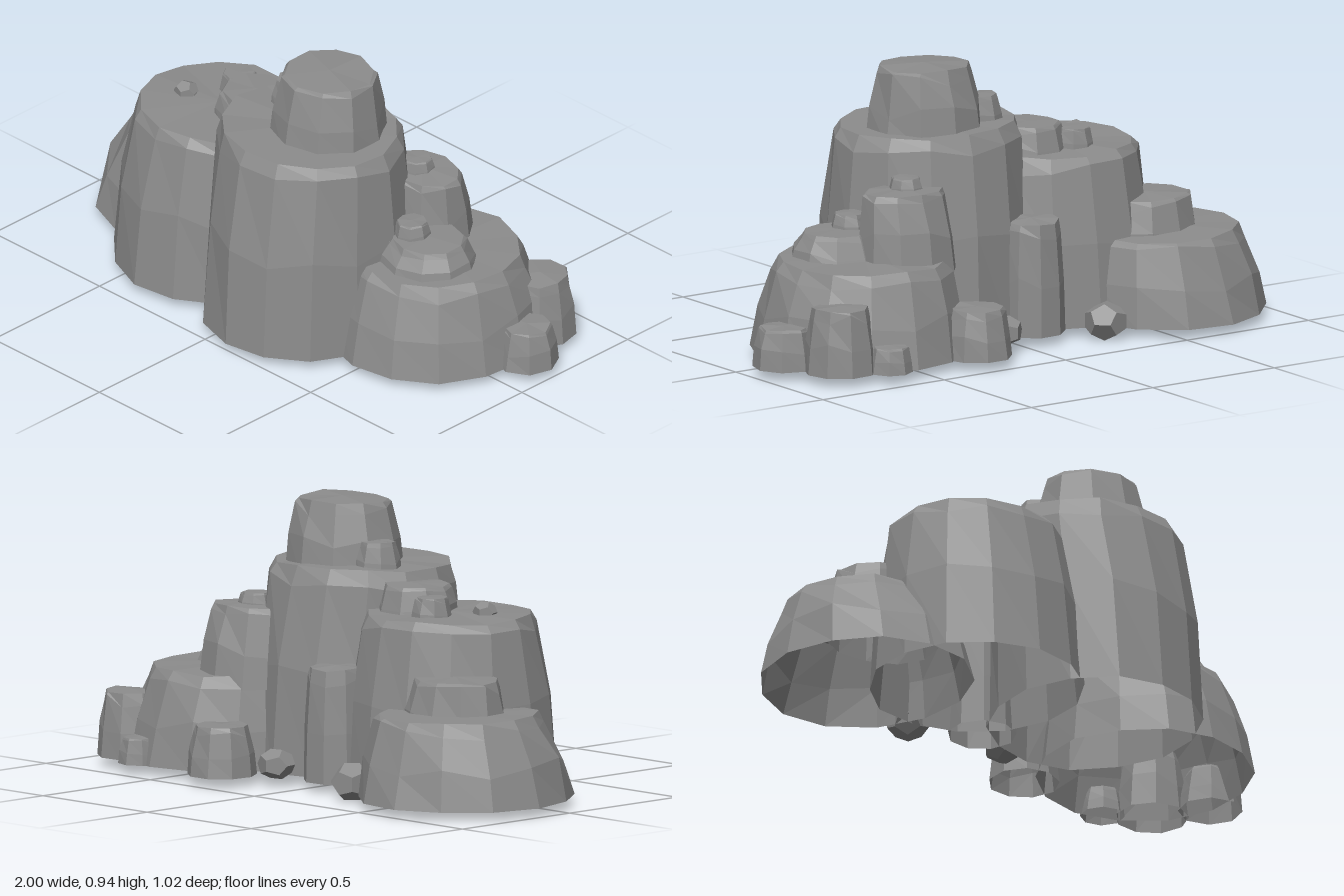
import * as THREE from 'three';

const stone = new THREE.MeshStandardMaterial({ color: 0x8c8c8c, flatShading: true, side: THREE.DoubleSide });
stone.name = 'grey stone';

// small seeded generator, so every rock chips the same way each time
function seeded(seed) {
  let s = seed * 7919 + 17;
  return () => {
    s = (s * 16807) % 2147483647;
    return s / 2147483647;
  };
}

// rings from foot to crown: height fraction, blend from foot box to top box, radius scale, chipped drop
const RINGS = [
  [0, 0, 1, 0],
  [0.54, 0.34, 1, 1.3],
  [0.95, 0.97, 1, 1.2],
  [1, 1, 0.93, 0.3],
  [1, 1, 0, 0],
];

// Open-bottomed faceted rock; foot and top are [xMin, xMax, zMin, zMax]
function rock(name, y0, y1, foot, top, sides, seed) {
  const n = RINGS.length;
  const geo = new THREE.LatheGeometry(RINGS.map(([h, , s]) => new THREE.Vector2(s, h)), sides);
  const pos = geo.attributes.position;
  const rand = seeded(seed);
  const turn = (rand() - 0.5) * 0.3;
  const chips = Array.from({ length: sides }, () => {
    const column = rand();
    return RINGS.map(() => [0.5 * column + 0.5 * rand(), rand()]);
  });
  const drop = Math.min(0.04, (y1 - y0) * 0.15);
  for (let i = 0; i <= sides; i++) {
    const side = i % sides; // the last column closes exactly onto the first
    const a = turn + (side / sides) * Math.PI * 2;
    for (let j = 0; j < n; j++) {
      const [h, k, s, fall] = RINGS[j];
      const [chip, sink] = chips[side][j];
      const b = foot.map((v, q) => v + (top[q] - v) * k);
      const r = s * (1.045 - 0.06 * chip);
      pos.setXYZ(
        i * n + j,
        (b[0] + b[1]) / 2 + Math.sin(a) * r * (b[1] - b[0]) / 2,
        y0 + h * (y1 - y0) - fall * drop * sink,
        (b[2] + b[3]) / 2 + Math.cos(a) * r * (b[3] - b[2]) / 2
      );
    }
  }
  const flat = geo.toNonIndexed();
  flat.computeVertexNormals();
  const mesh = new THREE.Mesh(flat, stone);
  mesh.name = name;
  return mesh;
}

// Round-plan rock given by centre, foot radius and top radius
function boulder(name, x, z, y0, y1, r0, r1, sides, seed) {
  const box = (r) => [x - r, x + r, z - r, z + r];
  return rock(name, y0, y1, box(r0), box(r1), sides, seed);
}

// Closed loose stone
function pebble(name, x, y, z, rx, ry, turn) {
  const mesh = new THREE.Mesh(new THREE.DodecahedronGeometry(1), stone);
  mesh.name = name;
  mesh.scale.set(rx, ry, rx);
  mesh.position.set(x, y, z);
  mesh.rotation.y = turn;
  return mesh;
}

export function createModel() {
  const group = new THREE.Group();
  group.name = 'rockFormation';
  const G = 0.03; // ground cut of the mounds

  group.add(
    // four large mounds
    rock('westMound', G, 0.32, [-0.99, -0.3, -0.505, 0.235], [-0.915, -0.34, -0.43, 0.12], 13, 1),
    rock('middleMound', G, 0.605, [-0.705, 0.01, -0.28, 0.44], [-0.65, -0.04, -0.205, 0.355], 14, 2),
    rock('mainMound', G, 0.728, [-0.205, 0.485, -0.245, 0.505], [-0.21, 0.45, -0.17, 0.415], 14, 3),
    rock('eastMound', G, 0.35, [0.18, 0.893, -0.435, 0.31], [0.22, 0.825, -0.365, 0.235], 14, 4),

    // stacked tiers
    rock('westTier', 0.2, 0.43, [-0.785, -0.38, -0.295, 0.03], [-0.755, -0.42, -0.26, 0.0], 11, 5),
    rock('summit', 0.68, 0.937, [-0.035, 0.365, -0.115, 0.28], [0.0, 0.335, -0.075, 0.23], 10, 6),
    rock('eastTower', 0.3, 0.575, [0.22, 0.575, -0.295, 0.01], [0.25, 0.55, -0.24, -0.02], 10, 7),
    rock('eastTier', 0.31, 0.43, [0.4, 0.74, -0.155, 0.18], [0.43, 0.7, -0.11, 0.13], 10, 8),
    boulder('middleTier', -0.225, 0.04, 0.56, 0.69, 0.14, 0.115, 9, 9),

    // outlying columns and boulders around the foot
    boulder('backColumn', -0.08, -0.19, G, 0.42, 0.115, 0.1, 9, 10),
    boulder('backBoulder', 0.28, -0.38, G, 0.2, 0.118, 0.095, 9, 11),
    boulder('cornerBoulder', 0.785, -0.3, G, 0.255, 0.122, 0.1, 9, 12),
    boulder('eastBoulder', 0.893, -0.13, G, 0.17, 0.107, 0.085, 8, 13),
    boulder('backStone', 0.65, -0.4, G, 0.12, 0.075, 0.06, 8, 14),

    // small stones resting on the tiers
    boulder('summitStone', -0.035, 0.045, 0.69, 0.81, 0.08, 0.06, 8, 15),
    boulder('middleStone', -0.37, -0.03, 0.57, 0.665, 0.07, 0.055, 8, 16),
    boulder('towerStone', 0.385, -0.12, 0.55, 0.61, 0.06, 0.048, 8, 17),
    boulder('eastTierStone', 0.51, 0.03, 0.4, 0.478, 0.065, 0.052, 8, 18),
    pebble('middlePebble', -0.475, 0.61, 0.115, 0.042, 0.036, 0.3),
    pebble('westFootPebble', -0.29, 0.062, -0.325, 0.075, 0.067, 0.8),
    pebble('backFootPebble', 0.105, 0.075, -0.295, 0.065, 0.053, 0.2)
  );
  return group;
}
